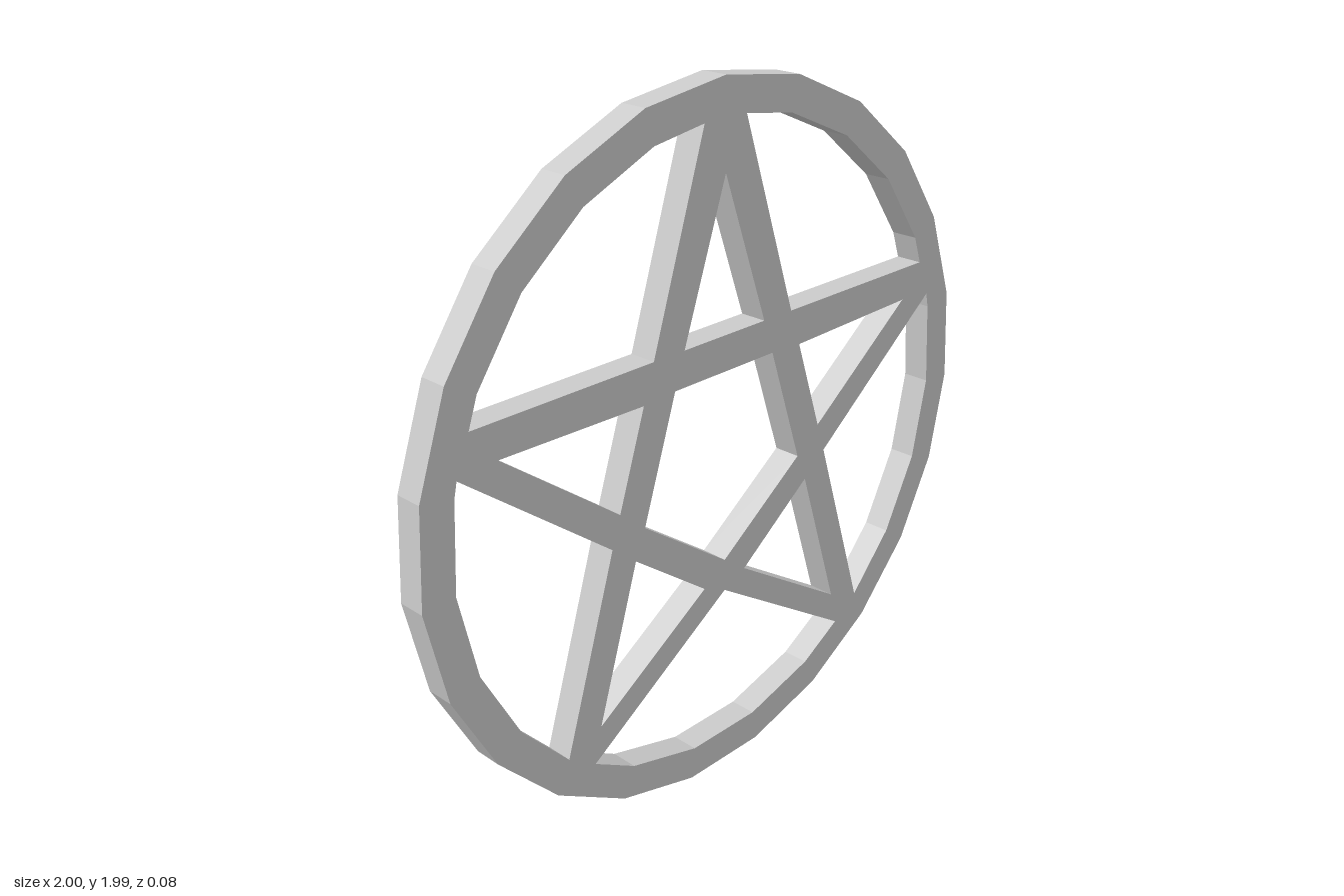
import * as THREE from 'three';

const SIDES = 23, OUTER = 1.002, INNER = 0.905, CY = 0.993, DEPTH = 0.08;

// Corner k of the ring polygon, counted clockwise from the top
function ringPoint(radius, k) {
  const a = (k / SIDES) * Math.PI * 2;
  return [radius * Math.sin(a), CY + radius * Math.cos(a)];
}

// Inner ring corners from index a to index b
function innerArc(a, b) {
  const pts = [];
  for (let k = a; k <= b; k++) pts.push(ringPoint(INNER, k));
  return pts;
}

const mirror = (pts) => pts.map(([x, y]) => [-x, y]).reverse();
const toPath = (pts, Type) => new Type(pts.map(([x, y]) => new THREE.Vector2(x, y)));

export function createModel() {
  const group = new THREE.Group();

  // Faceted ring outline, counter-clockwise; every opening runs clockwise
  const outline = [];
  for (let k = 0; k < SIDES; k++) outline.push(ringPoint(OUTER, -k));
  const shape = toPath(outline, THREE.Shape);

  // Openings on the centre line
  const centreHoles = [
    [[-0.185, 1.227], [0.185, 1.227], [0.3, 0.88], [0, 0.665], [-0.3, 0.88]], // pentagon
    [[0, 1.755], [0.15, 1.328], [-0.15, 1.328]], // upper point
    [[0, 0.569], [0.5, 0.245], ...innerArc(10, 13), [-0.5, 0.245]], // lower segment
  ];

  // Openings on one side, mirrored to the other
  const sideHoles = [
    [[0.295, 1.221], [0.757, 1.231], [0.385, 0.95]], // side point
    [[0.335, 0.796], [0.475, 0.352], [0.08, 0.606]], // lower point
    [[0.075, 1.89], ...innerArc(1, 4), [0.833, 1.328], [0.258, 1.328]], // upper segment
    [[0.876, 1.22], ...innerArc(5, 8), [0.59, 0.307], [0.415, 0.861]], // side segment
  ];

  for (const pts of [...centreHoles, ...sideHoles, ...sideHoles.map(mirror)]) {
    shape.holes.push(toPath(pts, THREE.Path));
  }

  // Ring and five-pointed star cut from one plate
  const geometry = new THREE.ExtrudeGeometry(shape, { depth: DEPTH, bevelEnabled: false });
  geometry.translate(0, 0, -DEPTH / 2);
  const star = new THREE.Mesh(
    geometry,
    new THREE.MeshStandardMaterial({ color: 0xcccccc, flatShading: true })
  );
  star.name = 'starInRing';
  group.add(star);
  return group;
}
